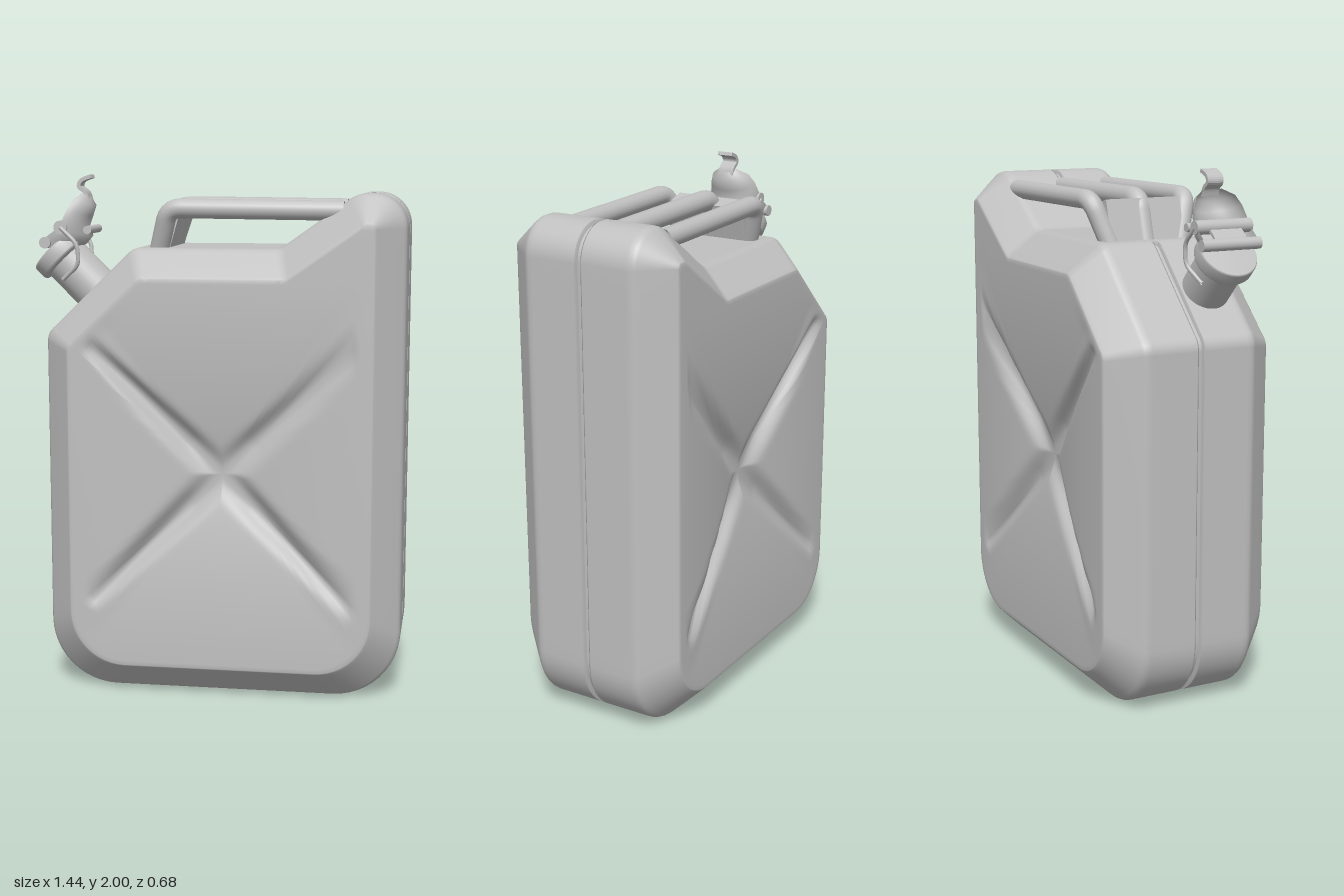
import * as THREE from 'three';

const V = (x, y, z) => new THREE.Vector3(x, y, z);
const steel = new THREE.MeshStandardMaterial({ color: 0xc0c0c0, side: THREE.DoubleSide });
steel.name = 'grey steel';

function part(group, name, geometry) {
  const mesh = new THREE.Mesh(geometry, steel);
  mesh.name = name;
  group.add(mesh);
  return mesh;
}

// Polygon corners [x, y, radius] to a loop with a fixed number of points per corner
function roundedLoop(corners, arcSteps = 12, edgeSteps = 20) {
  const n = corners.length, ends = [];
  corners.forEach(([x, y, r], i) => {
    const p = new THREE.Vector2(x, y);
    const a = new THREE.Vector2(...corners[(i + n - 1) % n].slice(0, 2)).sub(p).normalize();
    const b = new THREE.Vector2(...corners[(i + 1) % n].slice(0, 2)).sub(p).normalize();
    const half = Math.acos(THREE.MathUtils.clamp(a.dot(b), -1, 1)) / 2;
    const t = r / Math.tan(half);
    const s = p.clone().addScaledVector(a, t), e = p.clone().addScaledVector(b, t);
    const c = p.clone().add(a.clone().add(b).normalize().multiplyScalar(r / Math.sin(half)));
    const a0 = Math.atan2(s.y - c.y, s.x - c.x);
    let da = Math.atan2(e.y - c.y, e.x - c.x) - a0;
    da = Math.atan2(Math.sin(da), Math.cos(da));
    ends.push({ s, e, c, r, a0, da });
  });
  const pts = [];
  ends.forEach(({ e, c, r, a0, da }, i) => {
    for (let k = 0; k < arcSteps; k++) {
      const a = a0 + da * k / arcSteps;
      pts.push(new THREE.Vector2(c.x + r * Math.cos(a), c.y + r * Math.sin(a)));
    }
    const next = ends[(i + 1) % n].s;
    for (let k = 0; k < edgeSteps; k++) pts.push(e.clone().lerp(next, k / edgeSteps));
  });
  return pts;
}

// Depth of the pressed cross; k runs from 0 at the panel centre to 1 at its rim
const CX = 0.03, CY = 0.87;
function pressDepth(x, y, k) {
  const px = Math.abs(x - CX), py = Math.abs(y - CY);
  const r = Math.min(1, Math.max(px / 0.56, py / 0.73));
  const s = Math.min(1, (px + py) / 1.02);
  const dish = 0.08 * (1 - r) ** 2;
  const floor = Math.min(0.085, 0.1 * (1 - s) ** 0.6);
  const e = Math.abs(px - py) / Math.SQRT2;
  const w = 0.024 + 0.026 * (1 - s);
  const fade = THREE.MathUtils.smoothstep(1 - k, 0, 0.08);
  return fade * (dish + Math.max(0, floor - dish) * Math.exp(-(Math.abs(e / w) ** 2.5)));
}

function bodyGeometry() {
  const outer = roundedLoop([
    [-0.66, 0, 0.26], [0.715, 0, 0.26], [0.715, 1.932, 0.13], [0.53, 1.932, 0.12],
    [0.24, 1.725, 0.06], [-0.32, 1.725, 0.07], [-0.66, 1.395, 0.07]]);
  const inner = roundedLoop([
    [-0.55, 0.12, 0.21], [0.602, 0.12, 0.21], [0.602, 1.82, 0.015], [0.565, 1.82, 0.02],
    [0.275, 1.615, 0.05], [-0.275, 1.615, 0.05], [-0.55, 1.355, 0.04]]);
  const n = outer.length, rings = [], steps = 48;
  // Pressed panel, from its centre out to its rim
  for (let i = 0; i <= steps; i++) {
    const k = i / steps;
    rings.push(inner.map(p => {
      const x = CX + (p.x - CX) * k, y = CY + (p.y - CY) * k;
      return V(x, y, 0.342 - pressDepth(x, y, k));
    }));
  }
  // Chamfer and flat wall: [share of inset, z]
  const wall = [[0.04, 0.338], [0.12, 0.329], [0.5, 0.282], [0.88, 0.234], [0.95, 0.224], [0.99, 0.212], [1, 0.195], [1, 0.016], [1, 0.012]];
  for (const [k, z] of wall) rings.push(inner.map((p, j) => {
    const q = p.clone().lerp(outer[j], k);
    return V(q.x, q.y, z);
  }));
  // Seam channel, left out under the handle
  for (const z of [0.0105, 0.0085]) rings.push(outer.map((p, j) => {
    const plain = p.y > 1.7 && p.x > -0.31 && p.x < 0.48;
    const q = p.clone().lerp(inner[j], plain ? 0 : 0.13);
    return V(q.x, q.y, z);
  }));
  // Mirror to the back
  for (let i = rings.length - 1; i >= 0; i--) rings.push(rings[i].map(p => V(p.x, p.y, -p.z)));
  const index = [];
  for (let i = 0; i < rings.length - 1; i++) for (let j = 0; j < n; j++) {
    const a = i * n + j, b = i * n + (j + 1) % n, c = a + n, d = b + n;
    index.push(a, c, b, b, c, d);
  }
  const g = new THREE.BufferGeometry().setFromPoints(rings.flat());
  g.setIndex(index);
  g.computeVertexNormals();
  return g;
}

// Round bar along straight runs with softened bends
function bar(points, radius, bend = 0.05) {
  const path = new THREE.CurvePath();
  let from = points[0];
  for (let i = 1; i < points.length - 1; i++) {
    const p = points[i];
    const a = p.clone().add(points[i - 1].clone().sub(p).setLength(bend));
    const b = p.clone().add(points[i + 1].clone().sub(p).setLength(bend));
    path.add(new THREE.LineCurve3(from, a));
    path.add(new THREE.QuadraticBezierCurve3(a, p, b));
    from = b;
  }
  path.add(new THREE.LineCurve3(from, points[points.length - 1]));
  return new THREE.TubeGeometry(path, 60, radius, 16);
}

// Bent strip following an x-y path, centred on z
function strip(path, thickness, width, z) {
  const curve = new THREE.SplineCurve(path.map(p => new THREE.Vector2(...p)));
  const left = [], right = [];
  for (let i = 0; i <= 20; i++) {
    const p = curve.getPoint(i / 20), t = curve.getTangent(i / 20);
    const side = new THREE.Vector2(-t.y, t.x).multiplyScalar(thickness / 2);
    left.push(p.clone().add(side));
    right.unshift(p.clone().sub(side));
  }
  const g = new THREE.ExtrudeGeometry(new THREE.Shape([...left, ...right]), { depth: width, bevelEnabled: false });
  return g.translate(0, 0, z - width / 2);
}

// Curved lever shell: each section is a half ellipse from its open edge (x, y) to its crown (x, y)
function leverShell(sections, z) {
  const m = 20, pts = [], index = [];
  for (const [ex, ey, cx, cy, w] of sections) for (let j = 0; j <= m; j++) {
    const a = (j / m - 0.5) * Math.PI, c = Math.cos(a);
    pts.push(V(ex + (cx - ex) * c, ey + (cy - ey) * c, z + w * Math.sin(a)));
  }
  for (let i = 0; i < sections.length - 1; i++) for (let j = 0; j < m; j++) {
    const a = i * (m + 1) + j, c = a + m + 1;
    index.push(a, c, a + 1, a + 1, c, c + 1);
  }
  const g = new THREE.BufferGeometry().setFromPoints(pts);
  g.setIndex(index);
  g.computeVertexNormals();
  return g;
}

export function createModel() {
  const model = new THREE.Group();
  model.name = 'fuelCan';
  part(model, 'body', bodyGeometry());

  // Three-bar carrying handle with a joined foot
  const handle = new THREE.Group();
  handle.name = 'handle';
  model.add(handle);
  for (const s of [-1, 0, 1]) {
    part(handle, 'handleBar', bar([
      V(0.478, 1.867, 0.2 * s), V(-0.185, 1.874, 0.2 * s), V(-0.238, 1.69, 0.14 * s)], s ? 0.037 : 0.04));
  }
  const foot = part(handle, 'handleFoot', new THREE.BoxGeometry(0.07, 0.17, 0.31));
  foot.position.set(-0.207, 1.785, 0);
  foot.rotation.z = -0.28;

  // Angled neck and cap, local y runs out of the sloping shoulder
  const Z = 0.113;
  const spout = new THREE.Group();
  spout.name = 'spout';
  spout.position.set(-0.485, 1.555, Z);
  spout.rotation.z = Math.PI / 4;
  model.add(spout);
  const lathe = pts => new THREE.LatheGeometry(pts.map(p => new THREE.Vector2(...p)), 40);
  part(spout, 'neck', lathe([[0.09, -0.06], [0.09, 0.17]]));
  part(spout, 'cap', lathe([[0.088, 0.165], [0.108, 0.17], [0.113, 0.18], [0.113, 0.222], [0.108, 0.23], [0, 0.232]]));

  // Locking lever: shell, hinge plate, thumb tab, pins and clip wires
  const lever = new THREE.Group();
  lever.name = 'lockingLever';
  model.add(lever);
  part(lever, 'leverShell', leverShell([
    [-0.672, 1.735, -0.575, 1.7, 0.106], [-0.655, 1.765, -0.525, 1.735, 0.11], [-0.615, 1.795, -0.5, 1.765, 0.11],
    [-0.59, 1.835, -0.515, 1.8, 0.107], [-0.575, 1.87, -0.5, 1.84, 0.098],
    [-0.555, 1.905, -0.486, 1.88, 0.08], [-0.53, 1.928, -0.505, 1.915, 0.036]], Z));
  part(lever, 'hingePlate', strip([[-0.675, 1.735], [-0.645, 1.772], [-0.6, 1.8]], 0.012, 0.13, Z));
  part(lever, 'thumbTab', strip([[-0.51, 1.9], [-0.52, 1.93], [-0.545, 1.952], [-0.535, 1.977], [-0.498, 1.992]], 0.014, 0.065, Z));
  for (const [x, y, r, len] of [[-0.6, 1.8, 0.026, 0.23], [-0.66, 1.742, 0.022, 0.24], [-0.5, 1.79, 0.016, 0.18]]) {
    const pin = part(lever, 'leverPin', new THREE.CylinderGeometry(r, r, len, 20));
    pin.rotation.x = Math.PI / 2;
    pin.position.set(x, y, Z);
  }
  for (const s of [-1, 1]) {
    part(lever, 'clipWire', bar([V(-0.6, 1.8, Z + 0.112 * s), V(-0.535, 1.74, Z + 0.115 * s),
      V(-0.53, 1.66, Z + 0.108 * s), V(-0.6, 1.6, Z + 0.08 * s)], 0.008, 0.03));
  }
  return model;
}
